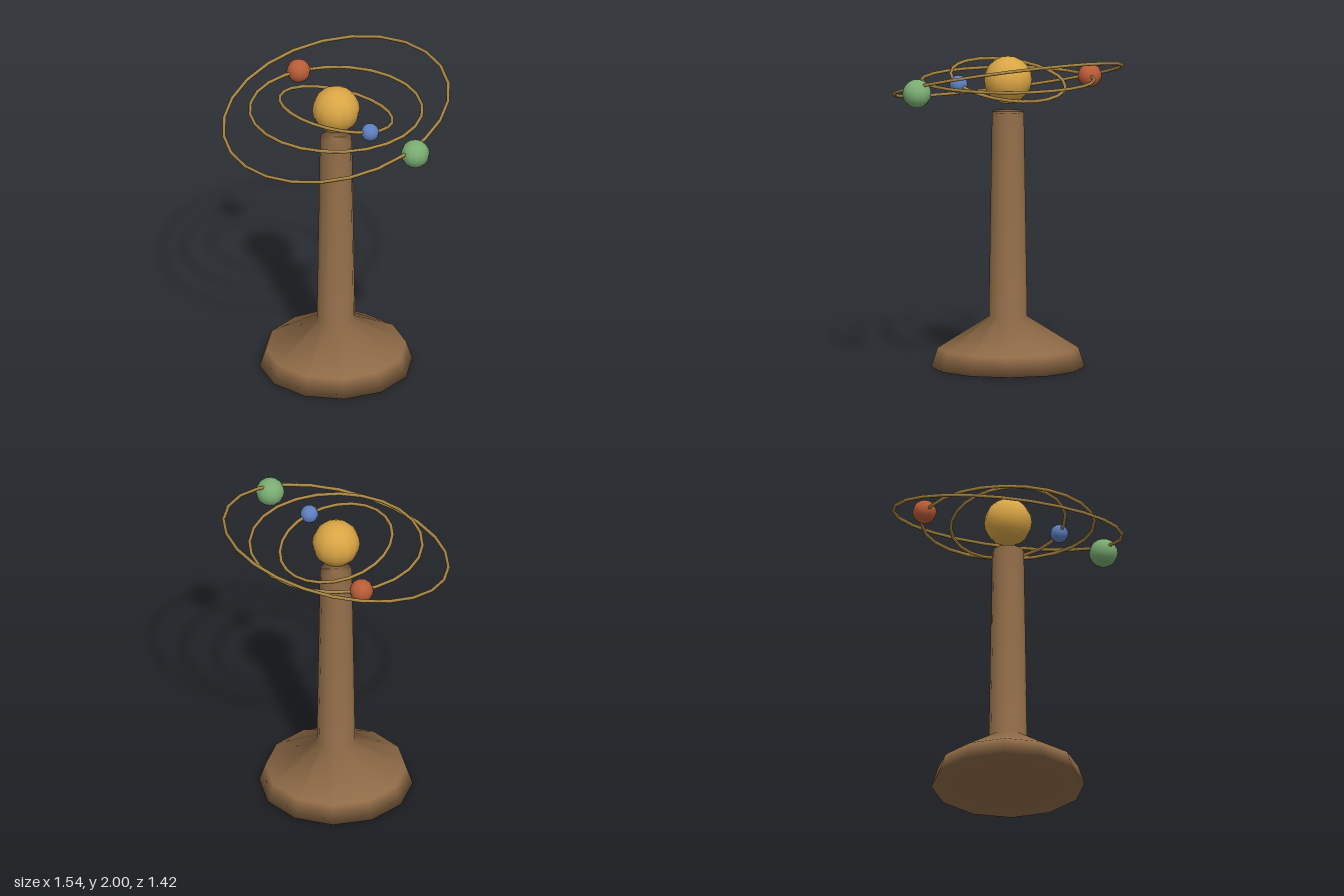
import * as THREE from 'three';

const flat = (name, color) => {
  const m = new THREE.MeshStandardMaterial({ color });
  m.name = name;
  return m;
};

export function createModel() {
  const wood = flat('wood', 0x8f6b47);
  const brass = flat('brass', 0xa98642);
  const gold = flat('gold', 0xd9a545);
  const blue = flat('blue', 0x5f7fc0);
  const red = flat('red', 0xb85c38);
  const green = flat('green', 0x7aac72);

  const group = new THREE.Group();
  group.name = 'orrery';
  const axisX = -0.04, hubY = 1.81;

  const add = (name, geometry, material, x, y, z) => {
    const mesh = new THREE.Mesh(geometry, material);
    mesh.name = name;
    mesh.position.set(x, y, z);
    group.add(mesh);
    return mesh;
  };

  // Turned stand: twelve-sided flared base and tapered post
  const profile = [[0, 0], [0.48, 0], [0.44, 0.12], [0.12, 0.32], [0.1, 1.61], [0, 1.61]]
    .map(([r, y]) => new THREE.Vector2(r, y));
  add('stand', new THREE.LatheGeometry(profile, 12), wood, axisX, 0, 0);

  // Central sun
  add('sun', new THREE.SphereGeometry(0.15, 12, 10), gold, axisX, hubY, 0);

  // Orbit rings, each with its planet
  const orbits = [
    { name: 'inner', radius: 0.36, tilt: -0.25, size: 0.057, material: blue, at: [0.32, 1.81, 0] },
    { name: 'middle', radius: 0.54, tilt: 0, size: 0.075, material: red, at: [-0.575, 1.81, -0.1] },
    { name: 'outer', radius: 0.72, tilt: 0.25, size: 0.09, material: green, at: [0.677, 1.79, -0.09] },
  ];
  for (const o of orbits) {
    const ring = new THREE.TorusGeometry(o.radius, 0.011, 6, 24);
    ring.rotateX(Math.PI / 2 + o.tilt);
    add(o.name + 'Ring', ring, brass, axisX, hubY, 0);
    add(o.name + 'Planet', new THREE.SphereGeometry(o.size, 12, 10), o.material, ...o.at);
  }
  return group;
}
